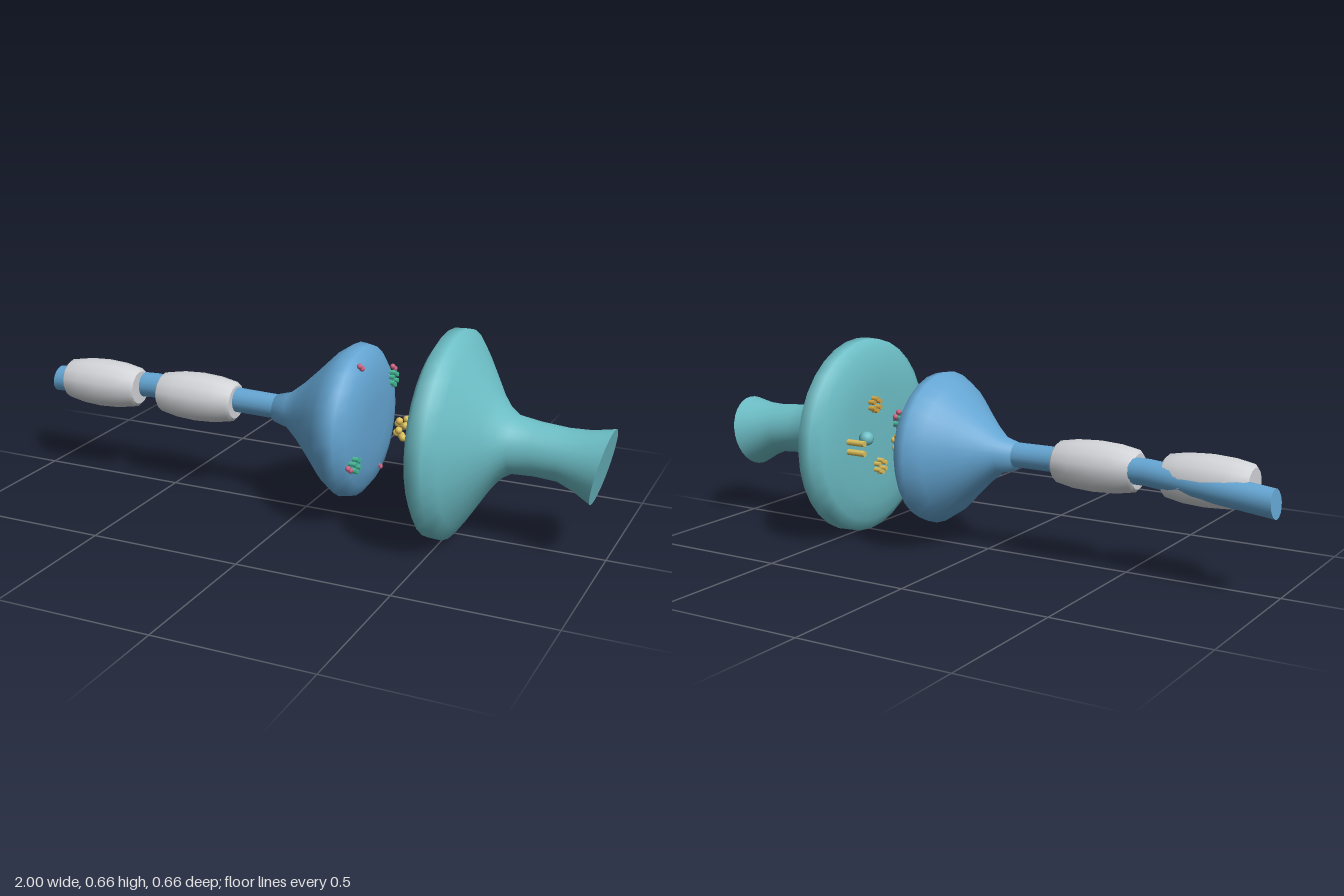
import * as THREE from 'three';

const mat = (name, color) => {
  const m = new THREE.MeshStandardMaterial({ color });
  m.name = name;
  return m;
};

// Skin a row of rings along x. Ring: [x, centreY, centreZ, radius, lean].
// A repeated ring makes a sharp edge.
function loft(rings, sides) {
  const pos = [], index = [], n = sides;
  rings.forEach(([x, cy, cz, r, lean = 0]) => {
    for (let j = 0; j < n; j++) {
      const t = (j / n) * Math.PI * 2;
      pos.push(x + lean * r * Math.cos(t), cy + r * Math.cos(t), cz + r * Math.sin(t));
    }
  });
  for (let i = 0; i < rings.length - 1; i++) {
    if (rings[i].every((v, k) => v === rings[i + 1][k])) continue;
    for (let j = 0; j < n; j++) {
      const a = i * n + j, b = i * n + (j + 1) % n;
      index.push(a, b, a + n, b, b + n, a + n);
    }
  }
  const g = new THREE.BufferGeometry();
  g.setAttribute('position', new THREE.Float32BufferAttribute(pos, 3));
  g.setIndex(index);
  g.computeVertexNormals();
  return g;
}

// Close both ends of a ring list with flat, sharp caps
function capped(rings) {
  const a = rings[0], b = rings[rings.length - 1];
  const tip = ([x, y, z]) => [x, y, z, 0, 0];
  return [tip(a), a, ...rings, b, tip(b)];
}

export function createModel() {
  const root = new THREE.Group();
  const blue = mat('axon blue', 0x64a5d2);
  const teal = mat('dendrite teal', 0x6cbdc5);
  const grey = mat('sheath grey', 0xd2d4d8);
  const yellow = mat('yellow', 0xdcc05c);
  const orange = mat('orange', 0xd0a545);
  const purple = mat('purple', 0x9d8bd0);
  const green = mat('green', 0x45b896);
  const pink = mat('pink', 0xc9607f);

  const add = (name, geo, m, parent = root) => {
    const mesh = new THREE.Mesh(geo, m);
    mesh.name = name;
    parent.add(mesh);
    return mesh;
  };

  // Long nerve fibre
  add('axon', loft(capped([
    [-0.995, 0.30, -0.06, 0.045, 0.1],
    [-0.78, 0.32, -0.046, 0.044],
    [-0.58, 0.336, -0.03, 0.042],
    [-0.3, 0.335, -0.014, 0.041],
    [-0.07, 0.333, -0.007, 0.04],
  ]), 16), blue);

  // Swollen end of the fibre
  const bulb = [[-0.11, 0.046], [-0.06, 0.06], [-0.01, 0.1], [0.05, 0.157],
    [0.11, 0.217], [0.16, 0.25], [0.195, 0.243], [0.222, 0.208],
    [0.238, 0.15], [0.243, 0.08], [0.243, 0]];
  add('axonTerminal', loft([[-0.11, 0.333, -0.008, 0],
    ...bulb.map(([x, r]) => [x, 0.328, -0.01, r])], 28), blue);

  // Two insulating sleeves
  for (const x of [-0.768, -0.398]) {
    const profile = [[-0.14, 0.056], [-0.13, 0.067], [-0.07, 0.078], [0, 0.082],
      [0.07, 0.078], [0.13, 0.067], [0.14, 0.056]];
    add('myelinSheath', loft(capped(profile.map(([dx, r]) => [x + dx, 0.329, -0.004, r])), 14), grey);
  }

  // Receiving disc with neck and leaning stump
  add('dendrite', loft([
    [0.43, 0.333, 0, 0], [0.43, 0.333, 0, 0.16], [0.436, 0.333, 0, 0.23],
    [0.45, 0.333, 0, 0.29], [0.474, 0.333, 0, 0.328], [0.518, 0.333, 0, 0.33],
    [0.55, 0.333, 0, 0.285], [0.585, 0.333, 0, 0.23], [0.63, 0.333, 0, 0.158],
    [0.665, 0.332, 0, 0.115], [0.7, 0.33, 0, 0.091], [0.77, 0.326, 0, 0.084],
    [0.85, 0.32, 0, 0.083, 0.1], [0.91, 0.31, 0, 0.095, 0.18],
    [0.973, 0.30, 0, 0.118, 0.21], [0.973, 0.30, 0, 0.118, 0.21],
    [0.973, 0.30, 0, 0, 0],
  ], 32), teal);

  // Ring of small rods pointing along x
  const rod = new THREE.CylinderGeometry(0.008, 0.008, 0.03, 8).rotateZ(Math.PI / 2);
  const rodRing = (name, m, x, y, z, count = 6) => {
    const g = new THREE.Group();
    g.name = name;
    g.position.set(x, y, z);
    for (let i = 0; i < count; i++) {
      const t = (i / count) * Math.PI * 2;
      add('rod', rod, m, g).position.set(0, Math.cos(t) * 0.02, Math.sin(t) * 0.02);
    }
    root.add(g);
  };
  rodRing('calciumChannel', green, 0.234, 0.238, 0.15);
  rodRing('calciumChannel', green, 0.234, 0.435, -0.153);
  rodRing('receptor', orange, 0.422, 0.45, -0.04);
  rodRing('receptor', yellow, 0.422, 0.235, -0.015);
  rodRing('receptor', purple, 0.422, 0.37, 0.1);

  // Pairs of tiny beads on the terminal
  const bead = new THREE.SphereGeometry(0.009, 10, 8);
  for (const [x, y, z] of [[0.225, 0.535, 0.085], [0.232, 0.235, 0.185], [0.225, 0.46, -0.19], [0.23, 0.163, -0.065]])
    for (const s of [-1, 1]) add('bead', bead, pink).position.set(x, y + s * 0.006, z + s * 0.009);

  // Yellow cluster floating in the gap
  const cluster = new THREE.Group();
  cluster.name = 'transmitterCluster';
  cluster.position.set(0.337, 0.325, -0.004);
  const ball = new THREE.SphereGeometry(0.012, 10, 8);
  for (let i = 0; i < 14; i++) {
    const v = 1 - (i + 0.5) / 7, t = i * 2.4, r = Math.sqrt(1 - v * v);
    add('transmitter', ball, yellow, cluster).position.set(Math.cos(t) * r * 0.024, v * 0.035, Math.sin(t) * r * 0.032);
  }
  root.add(cluster);

  // Leaning pump beside the receptors
  const pump = add('pump', new THREE.CapsuleGeometry(0.024, 0.045, 4, 12), teal);
  pump.position.set(0.4, 0.35, -0.12);
  pump.quaternion.setFromUnitVectors(new THREE.Vector3(0, 1, 0), new THREE.Vector3(0.62, -0.2, 0.72).normalize());

  // Two rods by the pump
  for (const y of [0.312, 0.345]) {
    const bar = add('channelRod', new THREE.CylinderGeometry(0.01, 0.01, 0.07, 10), yellow);
    bar.rotation.z = Math.PI / 2;
    bar.position.set(0.4, y, -0.176);
  }
  return root;
}
